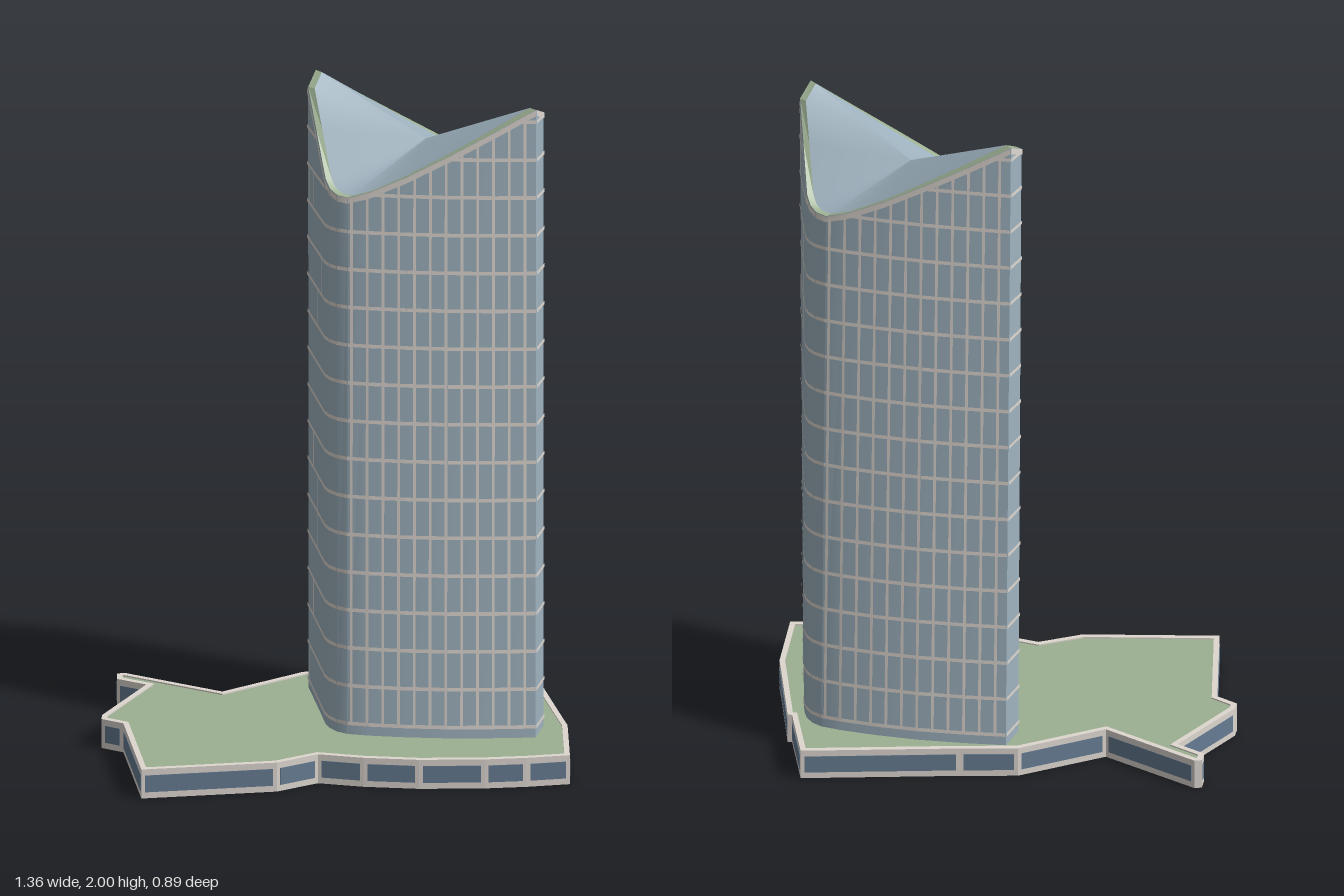
import * as THREE from 'three';
import { toCreasedNormals } from 'three/addons/utils/BufferGeometryUtils.js';

const flat = (name, color, extra = {}) => {
  const m = new THREE.MeshStandardMaterial({ color, ...extra });
  m.name = name;
  return m;
};

// Half of the tower rim [x, z, height]; the other half is its half-turn about the axis
const AX = 0.254, AZ = -0.07, BASE = 0.08;
const half = [
  [-0.087, -0.165, 1.97], [-0.062, -0.08, 1.87], [-0.034, 0.018, 1.757], [-0.021, 0.04, 1.735],
  [0.0, 0.058, 1.723], [0.03, 0.07, 1.72], [0.09, 0.078, 1.738], [0.2, 0.086, 1.79],
  [0.32, 0.09, 1.855], [0.45, 0.088, 1.928], [0.574, 0.083, 2.0],
];
const rim = [...half, ...half.map(([x, z, y]) => [2 * AX - x, 2 * AZ - z, y])];
const N = rim.length;
const at = (i) => rim[((i % N) + N) % N];

// Wall point under rim point i at height y: the plan deepens towards the ground
const wallPoint = (i, y) => {
  const [x, z, top] = at(i);
  return [x, y, AZ + (z - AZ) * (1 + 0.58 * (top - y) / top)];
};
const insetPoint = ([x, y, z]) => [AX + (x - AX) * 0.945, y, AZ + (z - AZ) * 0.89];

// Point on the wall at fractional perimeter position u, lifted slightly outwards
function surfacePoint(u, y, seg = Math.floor(u)) {
  const LIFT = 0.003;
  const f = u - seg, a = wallPoint(seg, y), b = wallPoint(seg + 1, y);
  const dx = b[0] - a[0], dz = b[2] - a[2], l = Math.hypot(dx, dz);
  return [a[0] + dx * f - dz / l * LIFT, y, a[2] + dz * f + dx / l * LIFT];
}
const rimHeight = (u) => {
  const i = Math.floor(u);
  return THREE.MathUtils.lerp(at(i)[2], at(i + 1)[2], u - i);
};

// Collects quads and triangles into one geometry
function faces() {
  const pos = [];
  return {
    tri: (a, b, c) => pos.push(...a, ...b, ...c),
    quad: (a, b, c, d) => pos.push(...a, ...b, ...c, ...a, ...c, ...d),
    mesh(name, material, crease = 0.4) {
      const g = new THREE.BufferGeometry();
      g.setAttribute('position', new THREE.Float32BufferAttribute(pos, 3));
      const m = new THREE.Mesh(toCreasedNormals(g, crease), material);
      m.name = name;
      return m;
    },
  };
}

function buildTower(glass, stone, green) {
  const tower = new THREE.Group();
  tower.name = 'tower';

  // Curtain wall, sloping rim, folded roof and inner foundation wall
  const wall = faces(), cap = faces(), roof = faces(), trim = faces(), skirt = faces();
  const centre = [AX, 1.85, AZ];
  for (let i = 0; i < N; i++) {
    const j = i + 1, yi = at(i)[2], yj = at(j)[2];
    const a = wallPoint(i, yi), b = wallPoint(j, yj);
    const ai = insetPoint(a), bi = insetPoint(b);
    wall.quad(wallPoint(i, BASE), wallPoint(j, BASE), b, a);
    cap.quad(a, b, bi, ai);
    roof.tri(ai, bi, centre);
    trim.quad(surfacePoint(i, yi - 0.018), surfacePoint(j, yj - 0.018, i),
      surfacePoint(j, yj, i), surfacePoint(i, yi));
    skirt.quad(wallPoint(j, 0), wallPoint(i, 0), wallPoint(i, BASE), wallPoint(j, BASE));
  }
  tower.add(wall.mesh('curtainWall', glass), cap.mesh('rimTop', green), roof.mesh('foldedRoof', glass),
    trim.mesh('rimTrim', stone), skirt.mesh('foundationWall', glass));

  // Floor bands, cut off where the rim dips below them
  const bands = faces(), STEP = 0.1152, T = 0.0055, SUB = 10;
  for (let k = 0; k < 17; k++) {
    const y = 0.12 + k * STEP;
    for (let q = 0; q < N * SUB; q++) {
      const u = q / SUB, v = (q + 1) / SUB, seg = Math.floor(q / SUB);
      if (Math.min(rimHeight(u), rimHeight(v)) < y + T) continue;
      bands.quad(surfacePoint(u, y - T, seg), surfacePoint(v, y - T, seg),
        surfacePoint(v, y + T, seg), surfacePoint(u, y + T, seg));
    }
  }
  tower.add(bands.mesh('floorBands', stone));

  // Mullions: regular on the broad sides, sparse and irregular on the narrow ones
  let seed = 7;
  const random = () => (seed = (seed * 16807) % 2147483647) / 2147483647;
  const mullions = faces();
  const mullion = (u, y0, y1) => {
    const seg = Math.floor(u), a = at(seg), b = at(seg + 1);
    const du = 0.004 / Math.hypot(b[0] - a[0], b[1] - a[1]);
    const top = Math.min(y1, rimHeight(u) - 0.005);
    if (top <= y0) return;
    const p = (w, y) => surfacePoint(w, y, seg);
    mullions.quad(p(u - du, y0), p(u + du, y0), p(u + du, top), p(u - du, top));
  };
  const frontPositions = [];
  for (let x = 0.042; x < 0.56; x += 0.0455) {
    let i = 5;
    while (half[i + 1][0] < x) i++;
    frontPositions.push(i + (x - half[i][0]) / (half[i + 1][0] - half[i][0]));
  }
  for (let k = 0; k < 17; k++) {
    const y = 0.12 + k * STEP;
    for (const turn of [0, N / 2]) {
      for (const u of frontPositions) mullion(u + turn, y, y + STEP);
      for (const u of [0.3, 0.75, 1.25, 1.7]) if (random() < 0.2) mullion(u + turn, y, y + STEP);
    }
  }
  tower.add(mullions.mesh('mullions', stone));
  return tower;
}

// Podium outline [x, z], starting at the back
const plan = [
  [-0.105, -0.327], [0.06, -0.357], [0.51, -0.45], [0.572, -0.24], [0.585, -0.24], [0.642, -0.01],
  [0.665, 0.08], [0.675, 0.315], [0.55, 0.338], [0.43, 0.352], [0.24, 0.358], [0.08, 0.344],
  [-0.052, 0.318], [-0.17, 0.385], [-0.56, 0.445], [-0.617, 0.083], [-0.68, 0.05], [-0.68, 0.02],
  [-0.555, -0.222], [-0.64, -0.265], [-0.64, -0.306], [-0.62, -0.313], [-0.335, -0.17],
];
const outward = (a, b) => {
  const dx = b[0] - a[0], dz = b[1] - a[1], l = Math.hypot(dx, dz);
  return [dz / l, -dx / l];
};

function buildPodium(stone, green, window) {
  const podium = new THREE.Group();
  podium.name = 'podium';
  const n = plan.length, H = 0.09, W = 0.016;

  // Mitred inner line of the parapet
  const inner = plan.map((p, i) => {
    const m = outward(plan[(i + n - 1) % n], p), k = outward(p, plan[(i + 1) % n]);
    const s = W / (1 + m[0] * k[0] + m[1] * k[1]);
    return [p[0] - (m[0] + k[0]) * s, p[1] - (m[1] + k[1]) * s];
  });
  const flatPoints = (list) => list.map(([x, z]) => new THREE.Vector2(x, -z));

  // Parapet ring; the hole runs the opposite way round
  const ring = new THREE.Shape(flatPoints(plan));
  ring.holes.push(new THREE.Path(flatPoints(inner).reverse()));
  const walls = new THREE.Mesh(new THREE.ExtrudeGeometry(ring, { depth: H, bevelEnabled: false }), stone);
  walls.name = 'podiumWalls';
  walls.rotation.x = -Math.PI / 2;

  const deck = new THREE.Mesh(new THREE.ShapeGeometry(new THREE.Shape(flatPoints(inner))), green);
  deck.name = 'greenDeck';
  deck.rotation.x = -Math.PI / 2;
  deck.position.y = 0.086;
  podium.add(walls, deck);

  // One glazed strip on each longer wall
  plan.forEach((a, i) => {
    const b = plan[(i + 1) % n], dx = b[0] - a[0], dz = b[1] - a[1];
    const length = Math.hypot(dx, dz);
    if (length < 0.04) return;
    const [nx, nz] = outward(a, b);
    const pane = new THREE.Mesh(new THREE.BoxGeometry(length - 0.022, 0.052, 0.004), window);
    pane.name = 'podiumWindow';
    pane.position.set((a[0] + b[0]) / 2 - nx * 0.0005, 0.045, (a[1] + b[1]) / 2 - nz * 0.0005);
    pane.rotation.y = -Math.atan2(dz, dx);
    podium.add(pane);
  });
  return podium;
}

export function createModel() {
  const glass = flat('blueGlass', 0x9fb3c0);
  const stone = flat('paleStone', 0xded7d0);
  const green = flat('roofGreen', 0x9db092, { side: THREE.DoubleSide });
  const window = flat('darkWindow', 0x667c92);
  const model = new THREE.Group();
  model.name = 'skyscraper';
  model.add(buildPodium(stone, green, window), buildTower(glass, stone, green));
  return model;
}
